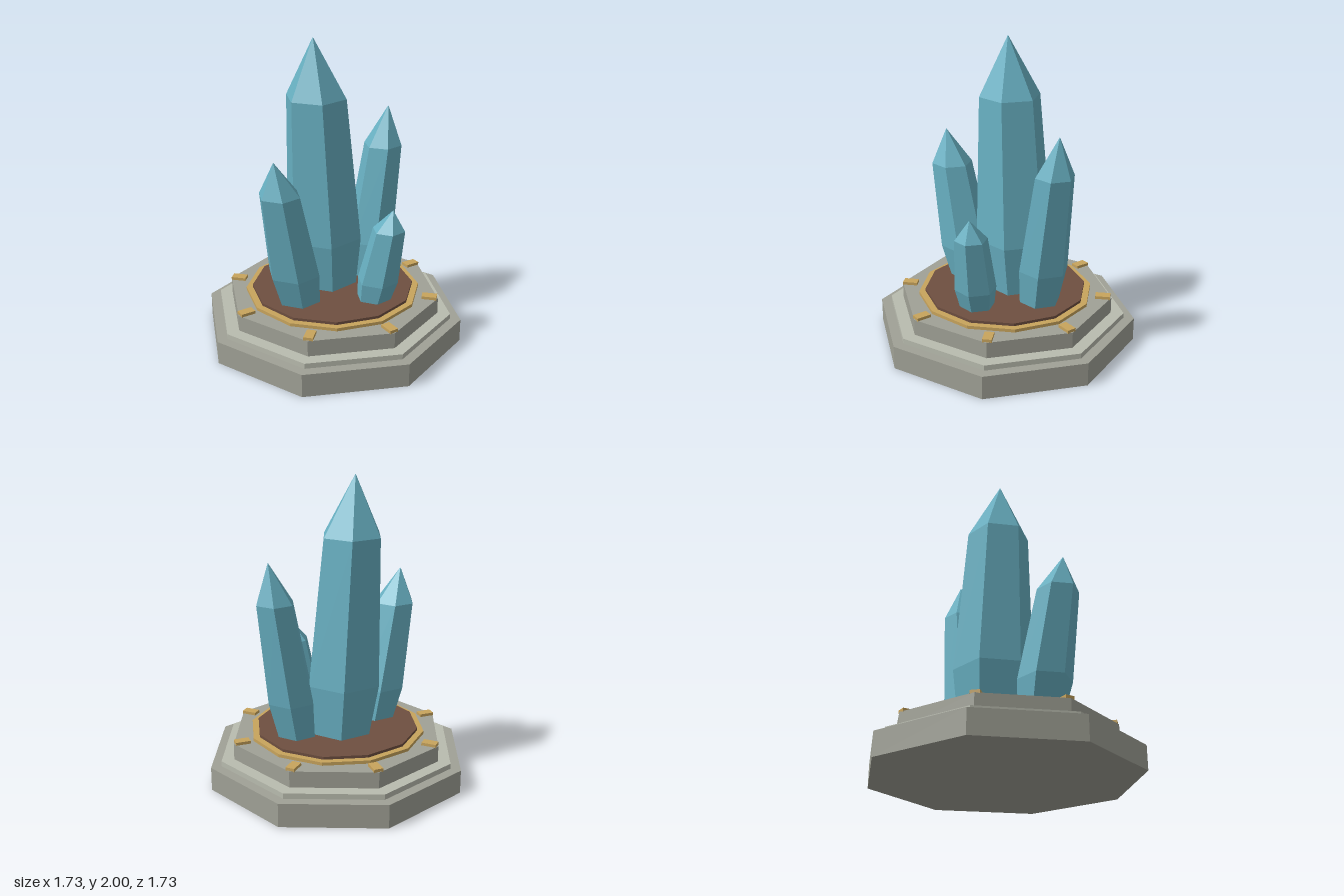
import * as THREE from 'three';

const material = (color) => new THREE.MeshStandardMaterial({ color, flatShading: true });
const stone = material(0xa0a196);
const paleStone = material(0xb9bcaf);
const gold = material(0xc8a45c);
const soil = material(0x6e4f40);
const crystal = material(0x68b0c2);

const SIDES = 6;

// Upright prism between two heights
function slab(name, radius, y0, y1, sides, mat) {
  const mesh = new THREE.Mesh(new THREE.CylinderGeometry(radius, radius, y1 - y0, sides), mat);
  mesh.position.y = (y0 + y1) / 2;
  mesh.name = name;
  return mesh;
}

// Leaning six-sided crystal: level rings along a slanted axis, closed by a point
function makeCrystal({ name, base, tip, radius, midY, shoulderY, turn }) {
  const start = new THREE.Vector3(...base);
  const end = new THREE.Vector3(...tip);
  const rings = [[start.y, 0.8], [midY, 1], [shoulderY, 0.785], [end.y, 0]];
  const positions = [];
  for (const [y, scale] of rings) {
    const centre = start.clone().lerp(end, (y - start.y) / (end.y - start.y));
    for (let i = 0; i < SIDES; i++) {
      const a = THREE.MathUtils.degToRad(turn) + (i / SIDES) * Math.PI * 2;
      const r = radius * scale;
      positions.push(centre.x + r * Math.cos(a), y, centre.z + r * Math.sin(a));
    }
  }
  const index = [];
  for (let k = 0; k < rings.length - 1; k++) {
    for (let i = 0; i < SIDES; i++) {
      const a = k * SIDES + i;
      const b = k * SIDES + (i + 1) % SIDES;
      index.push(a, a + SIDES, b);
      if (k < rings.length - 2) index.push(b, a + SIDES, b + SIDES);
    }
  }
  const indexed = new THREE.BufferGeometry();
  indexed.setAttribute('position', new THREE.Float32BufferAttribute(positions, 3));
  indexed.setIndex(index);
  const geometry = indexed.toNonIndexed();
  geometry.computeVertexNormals();
  const mesh = new THREE.Mesh(geometry, crystal);
  mesh.name = name;
  return mesh;
}

export function createModel() {
  const model = new THREE.Group();
  model.name = 'crystalPedestal';

  // Stepped octagonal plinth
  model.add(
    slab('plinthBase', 0.865, 0, 0.155, 8, stone),
    slab('plinthStep', 0.795, 0.155, 0.19, 8, paleStone),
    slab('plinthTop', 0.71, 0.19, 0.296, 8, stone),
    slab('soilBed', 0.535, 0.296, 0.335, 12, soil),
  );

  // Gold rim around the soil
  const profile = [[0.52, 0.296], [0.577, 0.296], [0.577, 0.317], [0.52, 0.317], [0.52, 0.296]];
  const rim = new THREE.Mesh(
    new THREE.LatheGeometry(profile.map(([x, y]) => new THREE.Vector2(x, y)), 12), gold);
  rim.name = 'goldRim';
  model.add(rim);

  // Gold studs, one at each corner of the octagon
  const studs = new THREE.Group();
  studs.name = 'goldStuds';
  const studGeometry = new THREE.BoxGeometry(0.06, 0.022, 0.097);
  for (let i = 0; i < 8; i++) {
    const a = (i / 8) * Math.PI * 2;
    const stud = new THREE.Mesh(studGeometry, gold);
    stud.name = 'goldStud';
    stud.position.set(0.653 * Math.sin(a), 0.304, 0.653 * Math.cos(a));
    stud.rotation.y = a;
    studs.add(stud);
  }
  model.add(studs);

  // Crystal cluster
  const cluster = new THREE.Group();
  cluster.name = 'crystalCluster';
  const crystals = [
    { name: 'mainCrystal', base: [0.005, 0.3, -0.084], tip: [-0.09, 2, -0.084],
      radius: 0.256, midY: 0.67, shoulderY: 1.62, turn: -9 },
    { name: 'leftCrystal', base: [0.295, 0.3, -0.057], tip: [0.473, 1.485, -0.058],
      radius: 0.162, midY: 0.57, shoulderY: 1.225, turn: -10 },
    { name: 'rightCrystal', base: [-0.295, 0.3, 0.067], tip: [-0.502, 1.33, 0.125],
      radius: 0.172, midY: 0.54, shoulderY: 1.105, turn: -8 },
    { name: 'smallCrystal', base: [0.117, 0.3, 0.305], tip: [0.188, 0.965, 0.408],
      radius: 0.135, midY: 0.465, shoulderY: 0.83, turn: -7 },
  ];
  for (const spec of crystals) cluster.add(makeCrystal(spec));
  model.add(cluster);

  return model;
}
